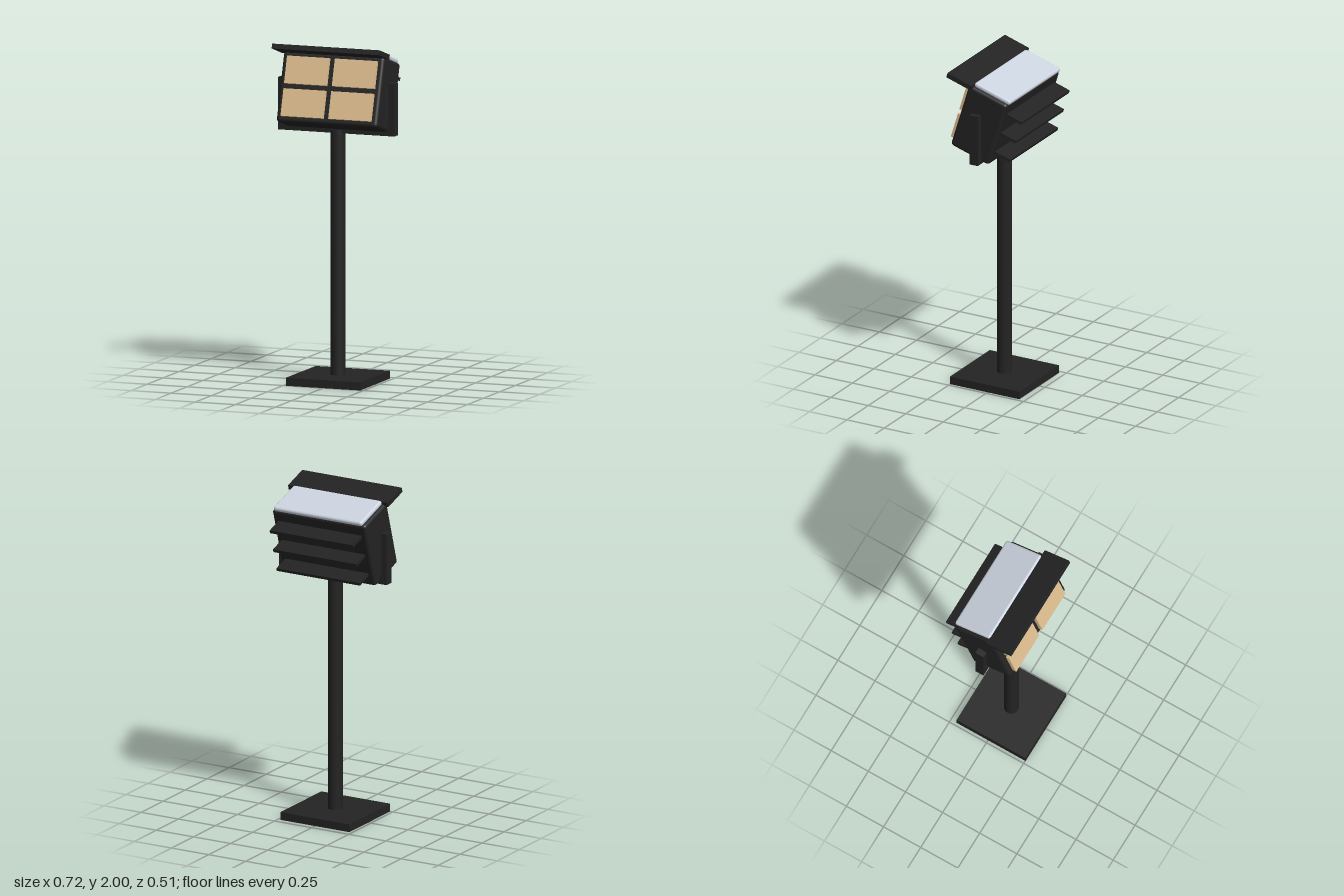
import * as THREE from 'three';
import { RoundedBoxGeometry } from 'three/addons/geometries/RoundedBoxGeometry.js';

function material(name, color) {
  const m = new THREE.MeshStandardMaterial({ color });
  m.name = name;
  return m;
}

export function createModel() {
  const black = material('black housing', 0x232323);
  const panelGrey = material('pale solar panel', 0xccd4e0);
  const warm = material('warm lamp', 0xdfbe8f);

  const model = new THREE.Group();
  model.name = 'solarFloodlight';

  // Box from its min and max corners; a radius rounds the edges
  function box(parent, name, mat, [x0, y0, z0], [x1, y1, z1], radius = 0) {
    const size = [x1 - x0, y1 - y0, z1 - z0];
    const geo = radius ? new RoundedBoxGeometry(...size, 3, radius) : new THREE.BoxGeometry(...size);
    const mesh = new THREE.Mesh(geo, mat);
    mesh.name = name;
    mesh.position.set((x0 + x1) / 2, (y0 + y1) / 2, (z0 + z1) / 2);
    parent.add(mesh);
    return mesh;
  }

  // Stand: square foot and pole
  box(model, 'basePlate', black, [-0.232, 0, -0.212], [0.232, 0.047, 0.252]);
  const pole = new THREE.Mesh(new THREE.CylinderGeometry(0.044, 0.044, 1.44, 16), black);
  pole.name = 'pole';
  pole.position.set(0, 0.765, 0.02);
  model.add(pole);

  // U-shaped yoke
  const yoke = new THREE.Group();
  yoke.name = 'yoke';
  model.add(yoke);
  box(yoke, 'yokeBar', black, [-0.362, 1.467, -0.009], [0.362, 1.52, 0.046]);
  for (const s of [-1, 1]) {
    const arm = box(yoke, s > 0 ? 'leftYokeArm' : 'rightYokeArm', black,
      [-0.0175, 1.52, -0.009], [0.0175, 1.775, 0.046]);
    arm.position.x = s * 0.3445;
  }

  // Lamp head, tilted to shine slightly upward
  const head = new THREE.Group();
  head.name = 'lampHead';
  head.position.set(0, 1.7, 0.015);
  head.rotation.x = -0.3;
  model.add(head);
  box(head, 'housing', black, [-0.315, -0.209, -0.134], [0.315, 0.209, 0.134], 0.02);
  box(head, 'solarPanel', panelGrey, [-0.298, 0.205, -0.141], [0.298, 0.236, 0.108], 0.014);
  box(head, 'visor', black, [-0.335, 0.197, 0.104], [0.335, 0.226, 0.273]);

  // Four lamp tiles on the front
  for (const x of [-0.149, 0.149]) {
    for (const y of [-0.096, 0.096]) {
      box(head, 'lampTile', warm, [x - 0.131, y - 0.081, 0.125], [x + 0.131, y + 0.081, 0.158]);
    }
  }

  // Cooling fins on the back
  for (const y of [-0.131, 0, 0.131]) {
    box(head, 'coolingFin', black, [-0.28, y - 0.009, -0.24], [0.28, y + 0.009, -0.12]);
  }

  return model;
}
